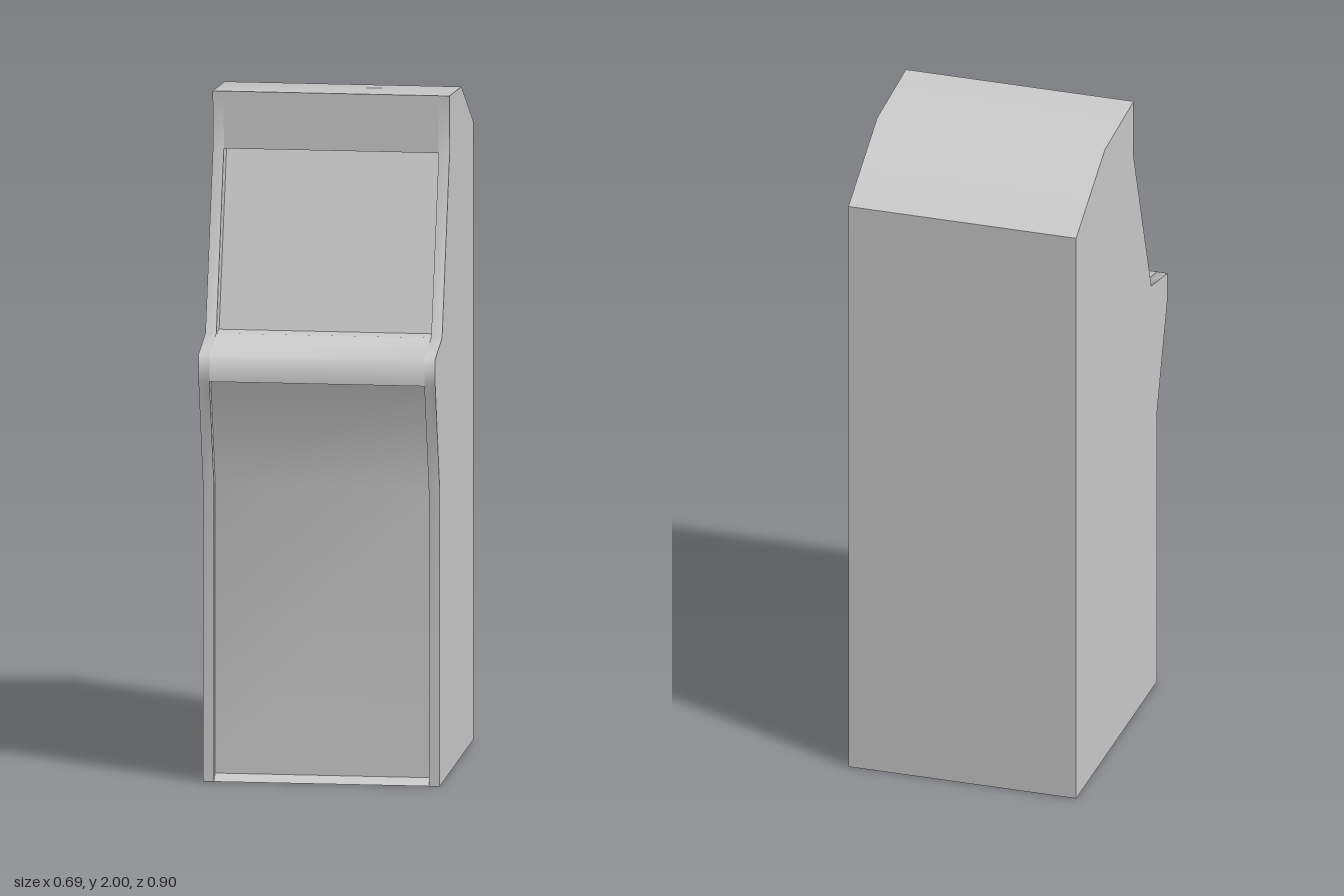
import * as THREE from 'three';

const W = 0.347, IN = 0.315; // half width outside, half width of the recesses

// Profile points are [z, y], running up the front, over the roof and down the back
const front = [[0.345, 0], [0.345, 0.875], [0.45, 1.2], [0.45, 1.28], [0.29, 1.315], [0.113, 1.83], [0.117, 2]];
const roof = [[0.117, 2], [-0.165, 1.978], [-0.447, 1.825]];
const back = [[-0.447, 1.825], [-0.447, 0]];
const base = [[-0.447, 0], [0.345, 0]];
const doorSill = [[0.345, 0], [0.315, 0.02]];
const door = [[0.315, 0.02], [0.315, 0.875], [0.42, 1.2]];
const doorTop = [[0.42, 1.2], [0.45, 1.2]];
const screenLedge = [[0.29, 1.315], [0.222, 1.315]];
const screen = [[0.222, 1.315], [0.045, 1.83]];
const screenTop = [[0.045, 1.83], [0.113, 1.83]];

const material = new THREE.MeshStandardMaterial({ color: 0xcccccc });

export function createModel() {
  const group = new THREE.Group();
  const add = (name, geometry) => {
    const mesh = new THREE.Mesh(geometry, material);
    mesh.name = name;
    group.add(mesh);
  };

  // Smooth sheet that follows a run of profile points from x0 to x1
  const sheet = (name, run, x0, x1) => {
    const positions = [], index = [];
    run.forEach(([z, y], i) => {
      positions.push(x0, y, z, x1, y, z);
      const a = 2 * i;
      if (i < run.length - 1) index.push(a, a + 1, a + 3, a, a + 3, a + 2);
    });
    const g = new THREE.BufferGeometry();
    g.setAttribute('position', new THREE.Float32BufferAttribute(positions, 3));
    g.setIndex(index);
    g.computeVertexNormals();
    add(name, g);
  };

  // Flat wall at x, facing +x or -x by the sign of facing
  const wall = (name, points, x, facing) => {
    const shape = new THREE.Shape(points.map(([z, y]) => new THREE.Vector2(-facing * z, y)));
    const g = new THREE.ShapeGeometry(shape);
    g.rotateY(facing * Math.PI / 2);
    g.translate(x, 0, 0);
    add(name, g);
  };

  // Full-width shell
  sheet('roof', roof, -W, W);
  sheet('backPanel', back, -W, W);
  sheet('base', base, -W, W);

  // Middle of the front
  sheet('doorSill', doorSill, -IN, IN);
  sheet('door', door, -IN, IN);
  sheet('doorTop', doorTop, -IN, IN);
  sheet('controlPanel', front.slice(2, 5), -IN, IN);
  sheet('screenLedge', screenLedge, -IN, IN);
  sheet('screen', screen, -IN, IN);
  sheet('screenTop', screenTop, -IN, IN);
  sheet('marquee', front.slice(5), -IN, IN);

  // Sides, front rims and the inner walls of the recesses
  const outline = [...front, ...roof.slice(1), back[1]];
  const doorGap = [...front.slice(0, 3), ...door.slice().reverse()];
  const screenGap = [...front.slice(4, 6), ...screen.slice().reverse()];
  for (const [side, s] of [['left', 1], ['right', -1]]) {
    wall(side + 'Side', outline, s * W, s);
    sheet(side + 'Rim', front, s > 0 ? IN : -W, s > 0 ? W : -IN);
    wall(side + 'DoorWall', doorGap, s * IN, -s);
    wall(side + 'ScreenWall', screenGap, s * IN, -s);
  }
  return group;
}
